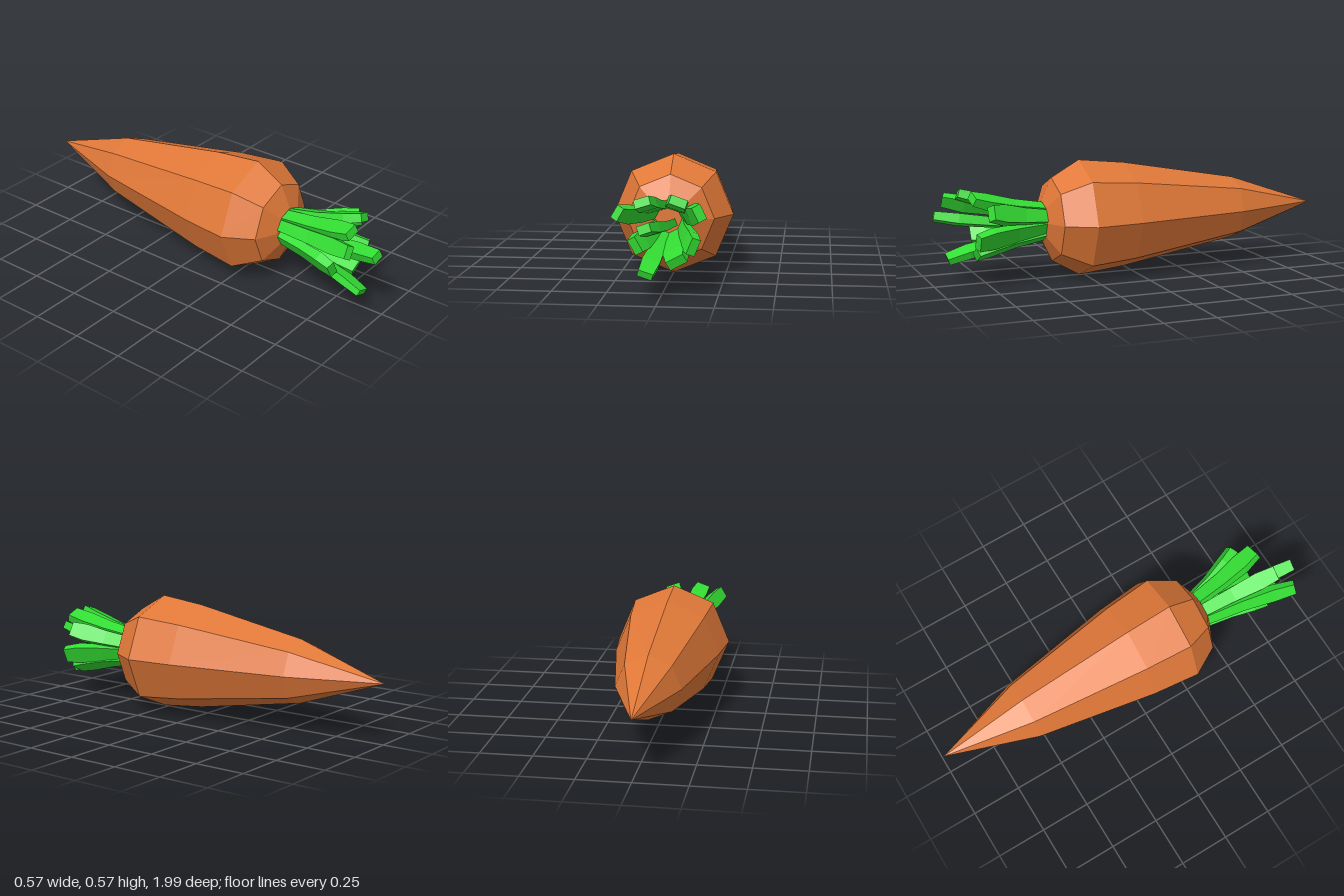
import * as THREE from 'three';

const AXIS_Y = 0.285;

// Four-sided stalk that leaves the crown straight and flares toward its tip
function stalkGeometry({ root, tip, z, width, thick = 0.045, roll = 0, bend = 0.35 }) {
  const start = new THREE.Vector3(root[0], root[1], 0.44);
  const end = new THREE.Vector3(tip[0], tip[1], z);
  const control = start.clone().lerp(end, bend).setZ(0.44 + (z - 0.44) * 0.6);
  const curve = new THREE.QuadraticBezierCurve3(start, control, end);
  const angle = Math.atan2(tip[1] - AXIS_Y, tip[0]) + roll;
  const across = new THREE.Vector3(-Math.sin(angle), Math.cos(angle), 0);
  const stations = [[0, 0.75], [0.4, 0.9], [0.75, 1.08], [1, 0.9]];
  const positions = [], index = [];

  stations.forEach(([t, scale], i) => {
    const p = curve.getPoint(t), tangent = curve.getTangent(t);
    const u = across.clone().addScaledVector(tangent, -across.dot(tangent)).normalize();
    const v = tangent.clone().cross(u);
    for (const [a, b] of [[-1, -1], [1, -1], [1, 1], [-1, 1]]) {
      const c = p.clone()
        .addScaledVector(u, a * width * scale / 2)
        .addScaledVector(v, b * thick * scale / 2);
      positions.push(c.x, c.y, c.z);
    }
    if (i === 0) return;
    for (let k = 0; k < 4; k++) {
      const a = (i - 1) * 4 + k, b = (i - 1) * 4 + (k + 1) % 4;
      index.push(a, b, b + 4, a, b + 4, a + 4);
    }
  });
  const e = (stations.length - 1) * 4;
  index.push(e, e + 1, e + 2, e, e + 2, e + 3);

  const geometry = new THREE.BufferGeometry();
  geometry.setAttribute('position', new THREE.Float32BufferAttribute(positions, 3));
  geometry.setIndex(index);
  const flat = geometry.toNonIndexed();
  flat.computeVertexNormals();
  return flat;
}

export function createModel() {
  const model = new THREE.Group();
  model.name = 'carrot';
  const orange = new THREE.MeshStandardMaterial({ color: 0xe07838, flatShading: true });
  const green = new THREE.MeshStandardMaterial({ color: 0x33dd33, flatShading: true });

  // Eight-sided root lying along z, tip at the back
  const profile = [[0, -1], [0.155, -0.55], [0.26, 0.04], [0.285, 0.275], [0.205, 0.415], [0.1, 0.465], [0, 0.465]]
    .map(([r, z]) => new THREE.Vector2(r, z));
  const body = new THREE.Mesh(new THREE.LatheGeometry(profile, 8).rotateX(Math.PI / 2), orange);
  body.name = 'root';
  body.position.y = AXIS_Y;
  model.add(body);

  // Ring of flared stalks around one long central stalk
  const stalks = [
    { root: [-0.065, 0.315], tip: [-0.175, 0.385], z: 0.91, width: 0.07, thick: 0.04 },
    { root: [-0.03, 0.345], tip: [-0.075, 0.425], z: 0.86, width: 0.08, roll: -0.2 },
    { root: [0.03, 0.345], tip: [0.08, 0.425], z: 0.83, width: 0.085, roll: 0.2 },
    { root: [0.065, 0.31], tip: [0.165, 0.365], z: 0.76, width: 0.08, thick: 0.05 },
    { root: [0.06, 0.26], tip: [0.145, 0.225], z: 0.82, width: 0.085 },
    { root: [0.035, 0.225], tip: [0.07, 0.155], z: 0.81, width: 0.095, thick: 0.05 },
    { root: [-0.02, 0.22], tip: [-0.055, 0.118], z: 0.92, width: 0.075, thick: 0.035 },
    { root: [-0.06, 0.25], tip: [-0.115, 0.22], z: 0.79, width: 0.085 },
    { root: [0.01, 0.265], tip: [-0.05, 0.33], z: 0.985, width: 0.065, roll: -0.5 },
  ];
  const leaves = new THREE.Group();
  leaves.name = 'leaves';
  stalks.forEach((stalk, i) => {
    const mesh = new THREE.Mesh(stalkGeometry(stalk), green);
    mesh.name = `stalk${i + 1}`;
    leaves.add(mesh);
  });
  model.add(leaves);
  return model;
}
